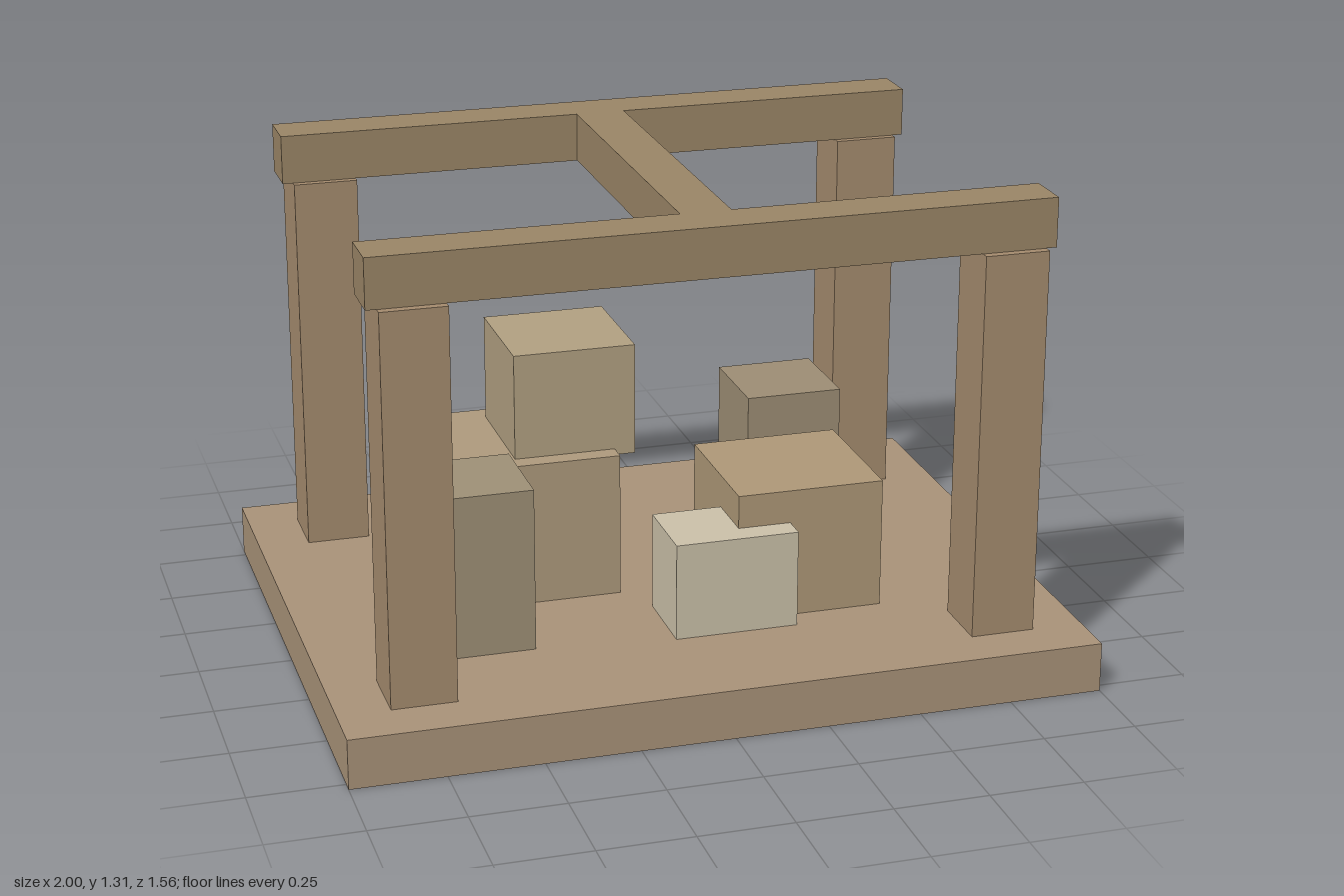
import * as THREE from 'three';

export function createModel() {
  const model = new THREE.Group();
  model.name = 'timberFrameWithCrates';

  // Box given by its extents on each axis
  function box(name, color, [x0, x1], [y0, y1], [z0, z1]) {
    const mesh = new THREE.Mesh(
      new THREE.BoxGeometry(x1 - x0, y1 - y0, z1 - z0),
      new THREE.MeshStandardMaterial({ color, flatShading: true })
    );
    mesh.name = name;
    mesh.position.set((x0 + x1) / 2, (y0 + y1) / 2, (z0 + z1) / 2);
    model.add(mesh);
  }
  const mirror = ([a, b], s) => (s > 0 ? [a, b] : [-b, -a]);

  const floor = 0.135, postTop = 1.18, top = 1.312;
  const beamColor = 0x9c8768;

  box('base', 0xab947a, [-1, 1], [0, floor], [-0.78, 0.78]);

  // Four posts and the two long beams resting on them
  for (const sz of [1, -1]) {
    const end = sz > 0 ? 'front' : 'back';
    for (const sx of [1, -1]) {
      box(end + (sx > 0 ? 'Left' : 'Right') + 'Post', 0xa68d6f,
        mirror([0.69, 0.862], sx), [floor, postTop], mirror([0.47, 0.645], sz));
    }
    box(end + 'Beam', beamColor, [-0.89, 0.89], [postTop, top], mirror([0.49, 0.622], sz));
  }
  box('crossBeam', beamColor, [-0.067, 0.067], [postTop, top], [-0.49, 0.49]);

  // Crates on the floor, one stacked on the large crate
  box('tallCrateRight', 0xa09278, [-0.693, -0.425], [floor, 0.58], [0.13, 0.397]);
  box('tallCrateLeft', 0x9f8f76, [0.308, 0.575], [floor, 0.58], [-0.358, -0.09]);
  box('largeCrate', 0xb09c7e, [-0.556, -0.115], [floor, 0.532], [-0.338, 0.108]);
  box('stackedCrate', 0xb3a283, [-0.39, -0.058], [0.515, 0.822], [-0.279, 0.055]);
  box('wideCrate', 0xb09a79, [0.132, 0.532], [floor, 0.49], [-0.022, 0.375]);
  box('paleCrate', 0xcdc3ab, [-0.058, 0.275], [floor, 0.4], [0.218, 0.443]);

  return model;
}
